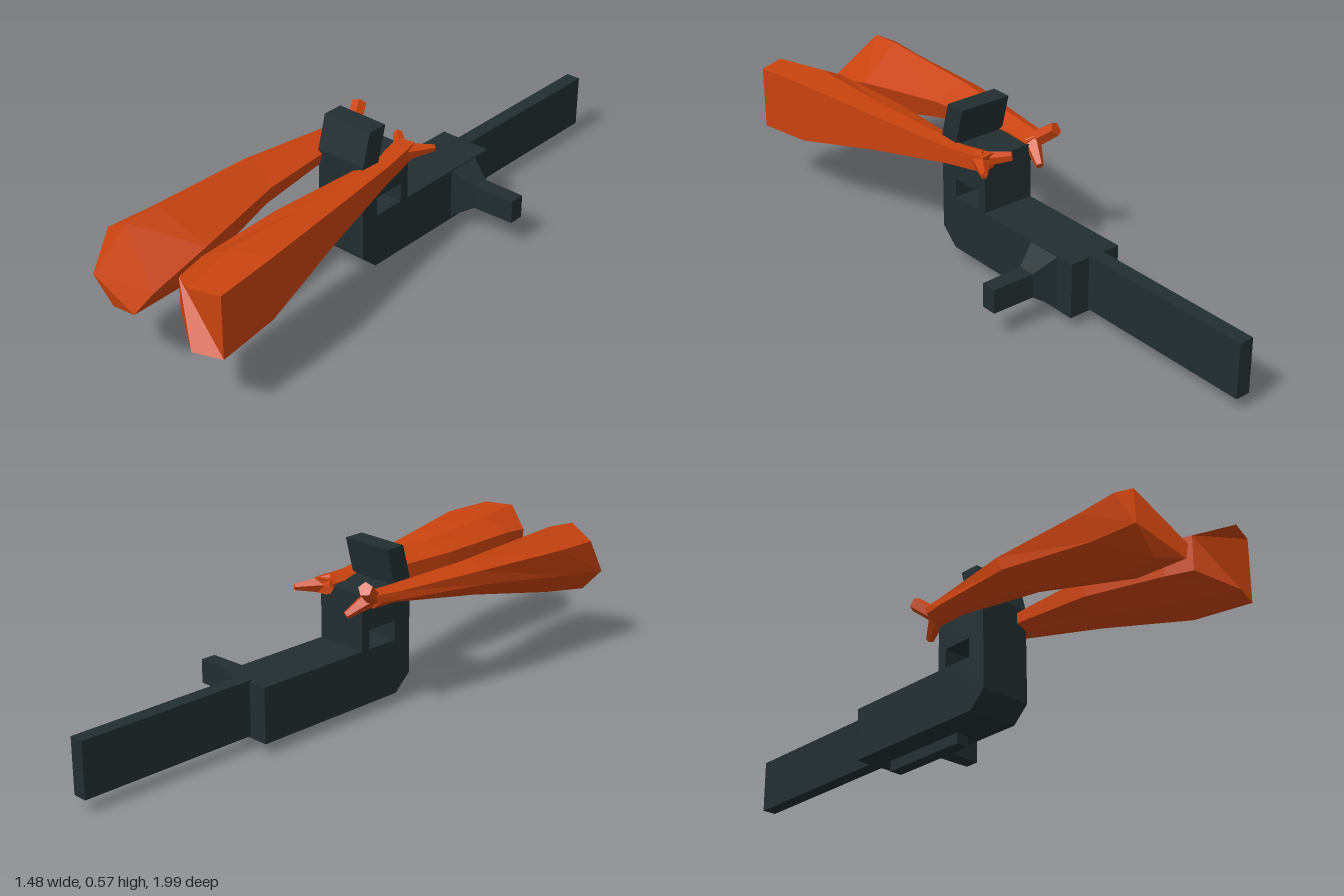
import * as THREE from 'three';

const dark = new THREE.MeshStandardMaterial({ color: 0x222e31, flatShading: true });
const orange = new THREE.MeshStandardMaterial({ color: 0xc9430f, flatShading: true });

function add(parent, name, geo, mat, x = 0, y = 0, z = 0) {
  const m = new THREE.Mesh(geo, mat);
  m.name = name;
  m.position.set(x, y, z);
  parent.add(m);
  return m;
}

// Skin through cross-sections, each clockwise seen from the first end
function loft(rings) {
  const n = rings[0].length, pos = [], tri = (...p) => p.forEach(v => pos.push(...v));
  for (let i = 0; i < rings.length - 1; i++) {
    for (let j = 0; j < n; j++) {
      const k = (j + 1) % n;
      const a = rings[i][j], b = rings[i][k], c = rings[i + 1][k], d = rings[i + 1][j];
      tri(a, b, c);
      tri(a, c, d);
    }
  }
  const end = rings[rings.length - 1];
  for (let j = 1; j < n - 1; j++) {
    tri(rings[0][0], rings[0][j + 1], rings[0][j]);
    tri(end[0], end[j], end[j + 1]);
  }
  const g = new THREE.BufferGeometry();
  g.setAttribute('position', new THREE.Float32BufferAttribute(pos, 3));
  g.computeVertexNormals();
  return g;
}

// Tapered finger between two points
function finger(parent, name, from, to, r0, r1) {
  const a = new THREE.Vector3(...from), b = new THREE.Vector3(...to);
  const dir = b.clone().sub(a);
  const m = add(parent, name, new THREE.CylinderGeometry(r1, r0, dir.length(), 5), orange);
  m.position.copy(a).add(b).multiplyScalar(0.5);
  m.quaternion.setFromUnitVectors(new THREE.Vector3(0, 1, 0), dir.normalize());
}

// Arm section with a flat outer side: left, middle and right [x, z], top and bottom
const section = (l, m, r, top, bot) => {
  const in_ = (top - bot) * 0.23;
  return [
    [l[0], top - in_, l[1]], [m[0], top, m[1]], [r[0], top, r[1]],
    [r[0], bot, r[1]], [m[0], bot, m[1]], [l[0], bot + in_, l[1]],
  ];
};

export function createModel() {
  const model = new THREE.Group();

  // Saw: local x runs along the blade, z across it
  const saw = new THREE.Group();
  saw.name = 'saw';
  saw.rotation.y = 0.979;
  model.add(saw);

  // Body with the rear grip and its window in one profile
  const side = new THREE.Shape([
    [-0.065, 0.04], [0.545, 0.04], [0.545, 0.24], [0.10, 0.24], [0.10, 0.44], [-0.055, 0.44],
    [-0.02, 0.575], [-0.097, 0.575], [-0.13, 0.455], [-0.13, 0.10],
  ].map(p => new THREE.Vector2(...p)));
  side.holes.push(new THREE.Path([
    [-0.058, 0.24], [-0.058, 0.31], [0.065, 0.31], [0.065, 0.24],
  ].map(p => new THREE.Vector2(...p))));
  add(saw, 'bodyAndGrip', new THREE.ExtrudeGeometry(side, { depth: 0.2, bevelEnabled: false }), dark, 0, 0, -0.057);

  add(saw, 'blade', new THREE.BoxGeometry(0.68, 0.197, 0.054), dark, 0.875, 0.146, 0.042);
  add(saw, 'bottomPlate', new THREE.BoxGeometry(0.36, 0.045, 0.05), dark, 0.29, 0.0225, 0.062);

  // Side handle: flared mount and a square bar
  const rect = (x0, x1, y0, y1, z) => [[x0, y0, z], [x0, y1, z], [x1, y1, z], [x1, y0, z]];
  add(saw, 'sideHandle', loft([
    rect(0.387, 0.444, 0.10, 0.187, 0.38),
    rect(0.380, 0.444, 0.10, 0.187, 0.22),
    rect(0.342, 0.475, 0.05, 0.238, 0.14),
  ]), dark);

  // Arm on the outer side, with hand
  const armA = new THREE.Group();
  armA.name = 'leftArm';
  model.add(armA);
  add(armA, 'leftForearm', loft([
    section([-0.43, 0.83], [-0.37, 0.965], [-0.265, 0.99], 0.462, 0.232),
    section([-0.38, 0.73], [-0.29, 0.76], [-0.15, 0.79], 0.475, 0.25),
    section([-0.20, 0.44], [-0.10, 0.45], [-0.01, 0.46], 0.457, 0.325),
    section([0.06, 0.10], [0.09, 0.11], [0.13, 0.14], 0.445, 0.385),
    section([0.11, 0.01], [0.14, 0.02], [0.18, 0.035], 0.455, 0.40),
    section([0.125, -0.03], [0.15, -0.025], [0.195, -0.005], 0.458, 0.405),
  ]), orange);
  finger(armA, 'leftThumb', [0.15, 0.43, 0.01], [0.13, 0.445, -0.085], 0.026, 0.016);
  finger(armA, 'leftFingers', [0.15, 0.43, 0.02], [0.262, 0.428, -0.03], 0.035, 0.012);

  // Arm on the other side, turned about its length
  const armB = new THREE.Group();
  armB.name = 'rightArm';
  model.add(armB);
  add(armB, 'rightForearm', loft([
    [[-0.74, 0.305, 0.70], [-0.70, 0.44, 0.63], [-0.625, 0.492, 0.68],
      [-0.515, 0.335, 0.825], [-0.58, 0.25, 0.825], [-0.67, 0.217, 0.74]],
    [[-0.61, 0.33, 0.54], [-0.60, 0.44, 0.50], [-0.55, 0.503, 0.58],
      [-0.385, 0.40, 0.64], [-0.43, 0.28, 0.65], [-0.54, 0.235, 0.62]],
    [[-0.37, 0.40, 0.20], [-0.355, 0.455, 0.18], [-0.31, 0.485, 0.22],
      [-0.24, 0.43, 0.31], [-0.26, 0.36, 0.30], [-0.32, 0.34, 0.25]],
    [[-0.13, 0.425, -0.07], [-0.12, 0.455, -0.075], [-0.09, 0.468, -0.06],
      [-0.05, 0.445, -0.01], [-0.06, 0.41, -0.01], [-0.09, 0.40, -0.04]],
    [[-0.06, 0.43, -0.14], [-0.05, 0.46, -0.15], [-0.02, 0.467, -0.14],
      [0.02, 0.445, -0.10], [0.01, 0.41, -0.10], [-0.03, 0.40, -0.12]],
  ]), orange);
  finger(armB, 'rightThumb', [-0.03, 0.44, -0.12], [-0.018, 0.495, -0.195], 0.028, 0.026);
  finger(armB, 'rightFingers', [-0.02, 0.435, -0.11], [0.055, 0.385, -0.16], 0.032, 0.014);

  return model;
}
